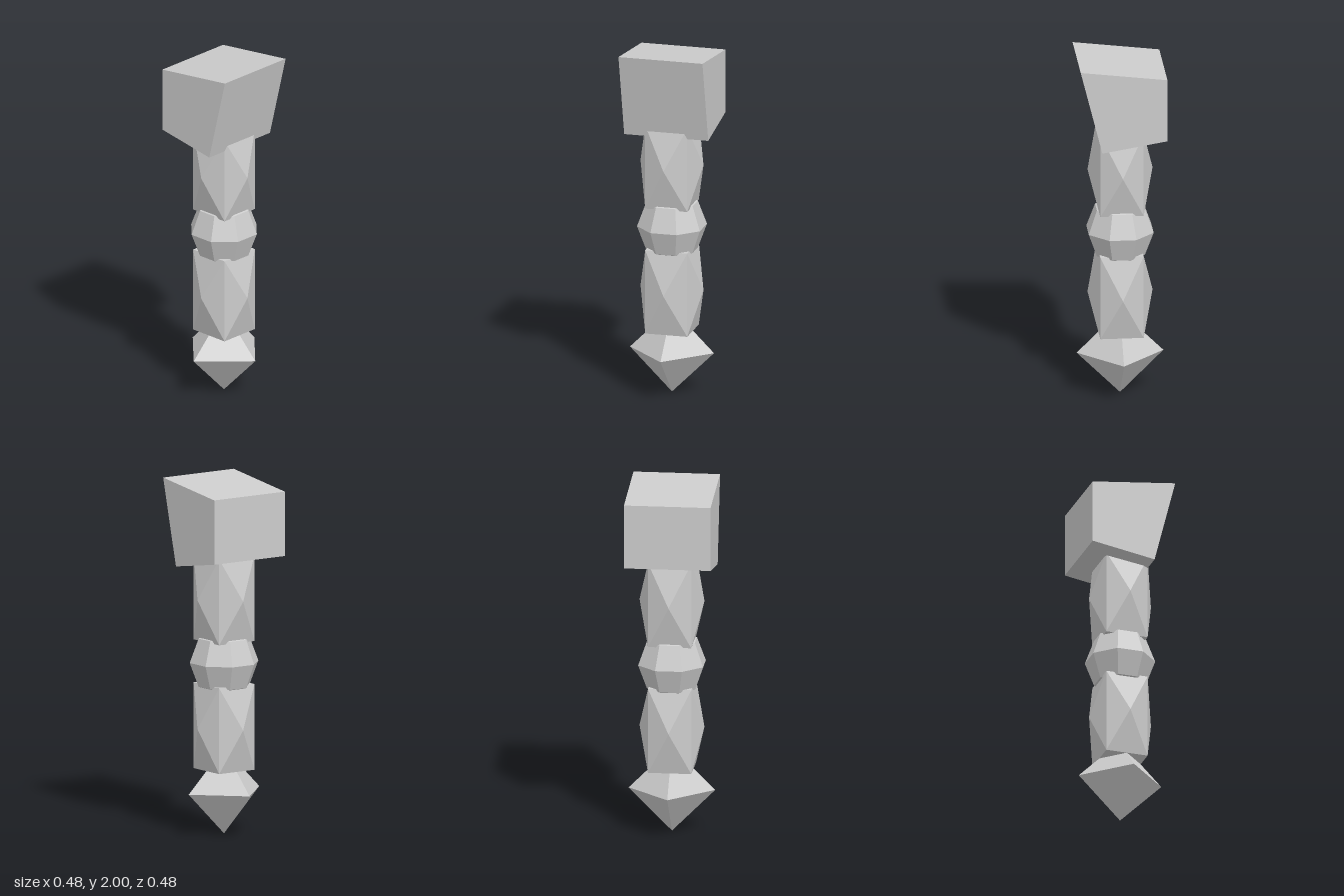
import * as THREE from 'three';
import { ConvexGeometry } from 'three/addons/geometries/ConvexGeometry.js';

const U = 2 / 8.25; // one design unit; the whole tool is 8.25 units tall

export function createModel() {
  const group = new THREE.Group();
  const material = new THREE.MeshStandardMaterial({ color: 0xcccccc, flatShading: true });

  const add = (name, geometry, y) => {
    const mesh = new THREE.Mesh(geometry, material);
    mesh.name = name;
    mesh.position.y = y * U;
    geometry.scale(U, U, U);
    group.add(mesh);
  };

  // Square grip block with a shallow pyramid on each of its four sides
  const gripGeometry = () => {
    const points = [];
    for (const a of [-1, 1]) {
      points.push(new THREE.Vector3(a * 0.75, 0, 0), new THREE.Vector3(0, 0, a * 0.75));
      for (const b of [-1, 1])
        for (const c of [-1, 1]) points.push(new THREE.Vector3(a * 0.5, b, c * 0.5));
    }
    return new ConvexGeometry(points);
  };

  // Pointed octahedral foot
  add('pommel', new THREE.OctahedronGeometry(1), 1);

  // Two grips separated by a faceted ball
  add('lowerGrip', gripGeometry(), 2.5);
  add('upperGrip', gripGeometry(), 5.5);

  // Eight-sided ball, flat sides facing the axes
  const ballProfile = [[0, -0.81], [0.6, -0.56], [0.81, 0], [0.6, 0.56], [0, 0.81]]
    .map(([r, y]) => new THREE.Vector2(r, y));
  add('middleBall', new THREE.LatheGeometry(ballProfile, 8, Math.PI / 8), 4);

  // Skewed block head, extruded from its front outline
  const outline = new THREE.Shape([[-1, -0.75], [0.5, -1], [1, 1], [-1, 0.75]]
    .map(([x, y]) => new THREE.Vector2(x, y)));
  const head = new THREE.ExtrudeGeometry(outline, { depth: 2, bevelEnabled: false });
  head.translate(0, 0, -1);
  add('head', head, 7.25);

  return group;
}
